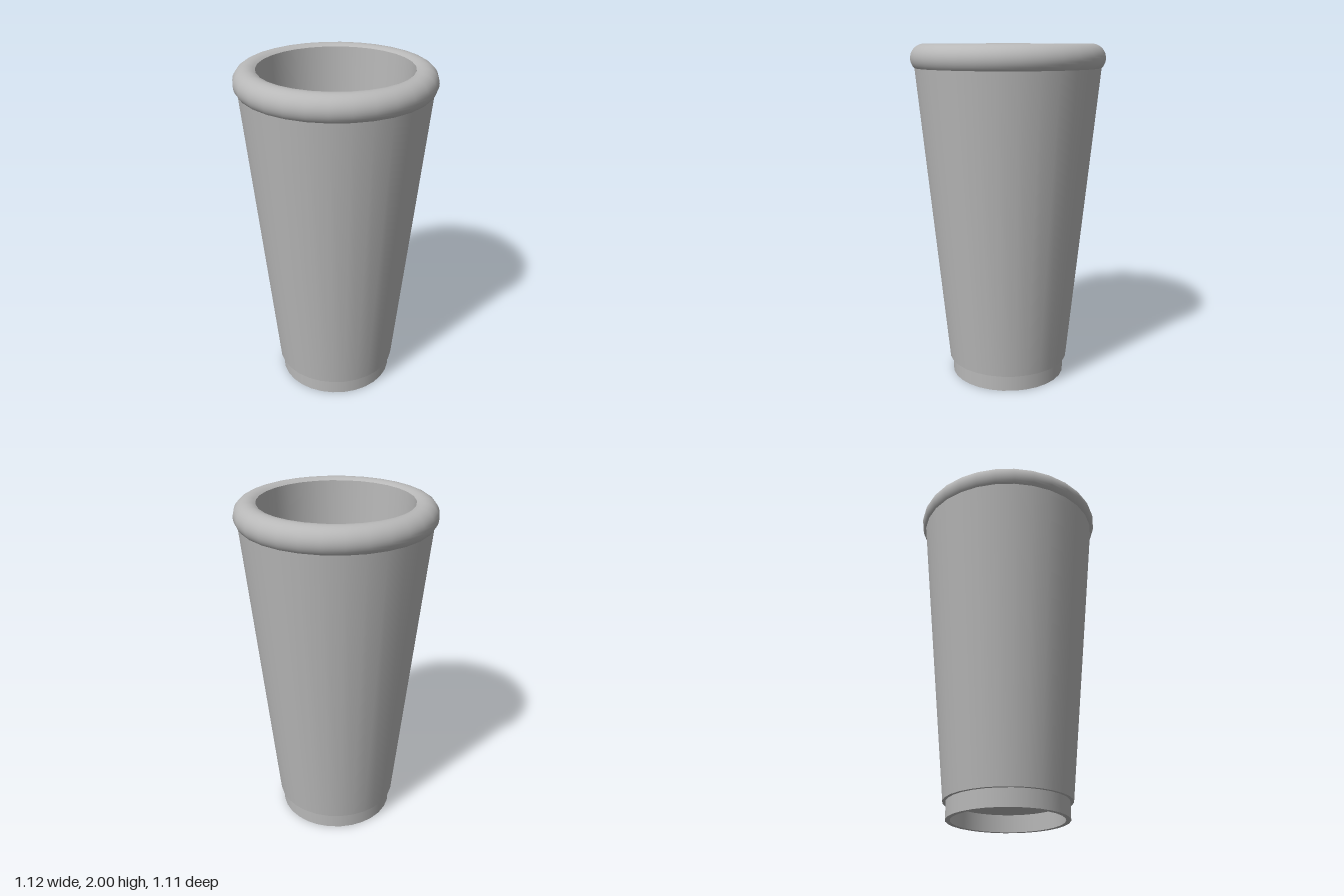
import * as THREE from 'three';

export function createModel() {
  const cup = new THREE.Group();
  cup.name = 'cup';
  const grey = new THREE.MeshStandardMaterial({ color: 0xb8b8b8 });
  grey.name = 'plain grey';

  // Revolve a profile of [radius, height] points, each one a smooth surface
  const revolve = (name, points, segments = 30) => {
    const profile = points.map(([r, y]) => new THREE.Vector2(r, y));
    const mesh = new THREE.Mesh(new THREE.LatheGeometry(profile, segments), grey);
    mesh.rotation.y = Math.PI / 2;
    mesh.name = name;
    cup.add(mesh);
  };

  const floorY = 0.12, baseY = 0.1;

  // Rolled rim: round bead, cut off on the inside by the opening
  const ringR = 0.48, bead = 0.08, beadY = 1.92;
  const arc = [];
  const from = -1.15, to = 2.168;
  for (let i = 0; i <= 20; i++) {
    const a = from + (to - from) * i / 20;
    arc.push([ringR + bead * Math.cos(a), beadY + bead * Math.sin(a)]);
  }
  const [mouthR, mouthY] = arc[arc.length - 1];
  revolve('rolledRim', arc);

  // Tapered body, inside and out
  revolve('outerWall', [[0.364, baseY], [0.54, 1.89]]);
  revolve('innerWall', [[mouthR, mouthY], [0.363, floorY]]);
  revolve('insideFloor', [[0.363, floorY], [0, floorY]]);

  // Narrow foot ring with a recessed underside
  revolve('bodyStep', [[0.345, baseY], [0.364, baseY]]);
  revolve('footOuter', [[0.345, 0], [0.345, baseY]]);
  revolve('footEdge', [[0.318, 0], [0.345, 0]]);
  revolve('footInner', [[0.318, baseY], [0.318, 0]]);
  revolve('underside', [[0, baseY], [0.318, baseY]]);

  return cup;
}
